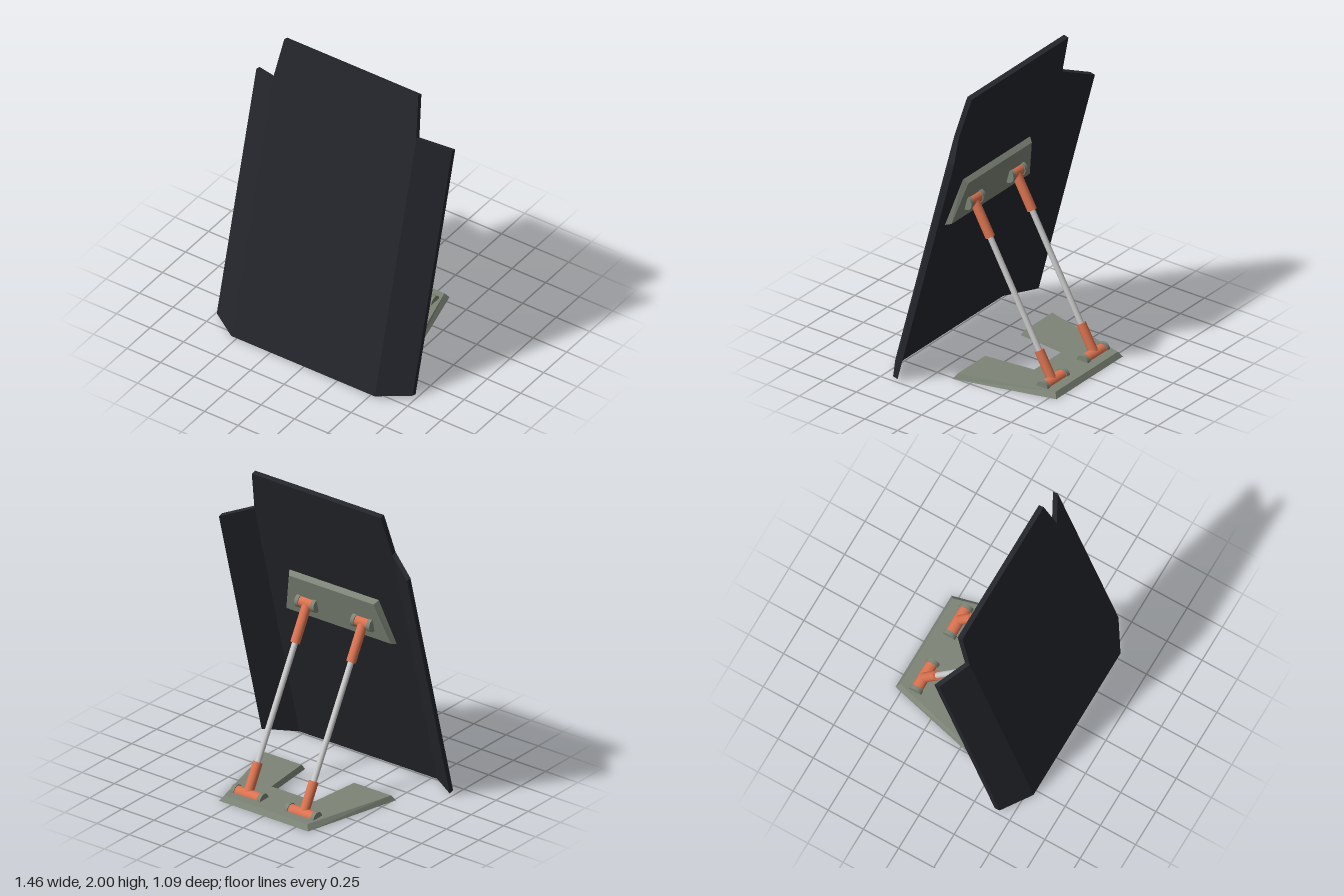
import * as THREE from 'three';

const mat = (color) => new THREE.MeshStandardMaterial({ color });
const DARK = mat(0x24262c);
const OLIVE = mat(0x7d8577);
const ORANGE = mat(0xdb7350);
const STEEL = mat(0xcccccc);

const V = (x, y, z) => new THREE.Vector3(x, y, z);

function add(parent, name, geometry, material) {
  const mesh = new THREE.Mesh(geometry, material);
  mesh.name = name;
  parent.add(mesh);
  return mesh;
}

// Solid between two matching outlines; the front one runs counter-clockwise
function loft(front, back) {
  const pos = [];
  const tri = (...pts) => pts.forEach((p) => pos.push(p.x, p.y, p.z));
  const flat = front.map((p) => new THREE.Vector2(p.x, p.y));
  for (const [a, b, c] of THREE.ShapeUtils.triangulateShape(flat, [])) {
    tri(front[a], front[b], front[c]);
    tri(back[c], back[b], back[a]);
  }
  front.forEach((p, i) => {
    const j = (i + 1) % front.length;
    tri(back[i], back[j], front[j]);
    tri(back[i], front[j], p);
  });
  const g = new THREE.BufferGeometry();
  g.setAttribute('position', new THREE.Float32BufferAttribute(pos, 3));
  g.computeVertexNormals();
  return g;
}

// Plate whose outer face is smaller than its foot, giving sloped edges
function bevelPlate(outline, thickness, inset) {
  const at = (i, z) => outline(i).map(([x, y]) => V(x, y, z));
  return loft(at(inset, thickness), at(0, 0));
}

// Leaning shield: a middle sheet and two swept-back wings
function makeShield() {
  const shield = new THREE.Group();
  shield.name = 'shield';
  const LEAN = 0.264;
  const offset = V(0, -0.009, -0.034);
  const sheet = (name, pts, foot) => {
    const front = pts.map(([x, y, sweep = 0]) => V(x, y, foot - sweep - LEAN * y));
    add(shield, name, loft(front, front.map((p) => p.clone().add(offset))), DARK);
  };
  sheet('middlePanel', [[-0.535, 0.01], [0.535, 0.01], [0.535, 1.725],
    [0.5, 2], [-0.5, 2], [-0.535, 1.725]], 0.548);
  const wing = [[0.535, 0.01], [0.73, 0.019, 0.125], [0.73, 1.65, 0.125], [0.535, 1.725]];
  sheet('leftWing', wing, 0.548);
  sheet('rightWing', wing.map(([x, y, s]) => [-x, y, s]).reverse(), 0.548);
  return shield;
}

// Half-sunk hinge barrel with an end cap on either side, lying along x
function makeHinge(length) {
  const hinge = new THREE.Group();
  hinge.name = 'hinge';
  const half = (name, r, len, x, material) => {
    const g = new THREE.CylinderGeometry(r, r, len, 24, 1, false, -Math.PI / 2, Math.PI);
    const m = add(hinge, name, g, material);
    m.rotation.z = Math.PI / 2;
    m.position.x = x;
  };
  half('hingeBarrel', 0.038, length - 0.04, 0, ORANGE);
  for (const s of [-1, 1]) half('hingeCap', 0.044, 0.027, s * (length / 2 - 0.0135), OLIVE);
  return hinge;
}

// Rod with a sleeve and rounded knuckle at both ends
function makeStrut(from, to) {
  const strut = new THREE.Group();
  strut.name = 'strut';
  const dir = to.clone().sub(from);
  const L = dir.length();
  strut.position.copy(from);
  strut.quaternion.setFromUnitVectors(V(0, 1, 0), dir.normalize());
  const tube = (name, r, y0, y1, material) => {
    add(strut, name, new THREE.CylinderGeometry(r, r, y1 - y0, 24), material).position.y = (y0 + y1) / 2;
  };
  tube('rod', 0.019, 0.1, L - 0.1, STEEL);
  tube('lowerSleeve', 0.031, 0, 0.205, ORANGE);
  tube('upperSleeve', 0.031, L - 0.255, L, ORANGE);
  for (const y of [0, L]) {
    const end = new THREE.SphereGeometry(0.031, 24, 12, 0, Math.PI * 2, 0, Math.PI / 2);
    const k = add(strut, 'knuckle', end, ORANGE);
    k.position.y = y;
    if (y === 0) k.rotation.x = Math.PI;
  }
  return strut;
}

export function createModel() {
  const model = new THREE.Group();
  model.name = 'proppedShield';
  model.add(makeShield());

  // Floor plate with a notch open to the front
  const base = new THREE.Group();
  base.name = 'base';
  base.rotation.x = -Math.PI / 2;
  add(base, 'floorPlate', bevelPlate((i) => {
    const f = -0.125 + i, b = 0.545 - i, n = 0.235 + i * 0.5;
    const right = [[0.157 + i / 2, n], [0.193 + i / 2, f], [0.512 - i, f], [0.345 - i, b]];
    return [...right, ...right.map(([x, y]) => [-x, y]).reverse()];
  }, 0.035, 0.022), OLIVE);
  model.add(base);

  // Mounting plate on the back of the shield
  const mount = new THREE.Group();
  mount.name = 'mount';
  const out = V(0, -0.264, -1).normalize();
  const up = V(0, 1, -0.264).normalize();
  mount.quaternion.setFromRotationMatrix(new THREE.Matrix4().makeBasis(V(-1, 0, 0), up, out));
  mount.position.set(0, 1.12, 0.218);
  add(mount, 'mountPlate', bevelPlate((i) => [
    [-0.425 + i, -0.126 + i], [0.425 - i, -0.126 + i],
    [0.348 - i, 0.198 - i], [-0.348 + i, 0.198 - i],
  ], 0.035, 0.02), OLIVE);
  model.add(mount);

  // Hinges and struts, one pair per side
  for (const s of [-1, 1]) {
    const low = makeHinge(0.232);
    low.position.set(s * 0.208, 0.42, 0.03);
    base.add(low);
    const high = makeHinge(0.15);
    high.position.set(s * 0.217, 0, 0.034);
    mount.add(high);
    model.add(makeStrut(V(s * 0.217, 0.037, -0.42), V(s * 0.217, 1.11, 0.179)));
  }
  return model;
}
